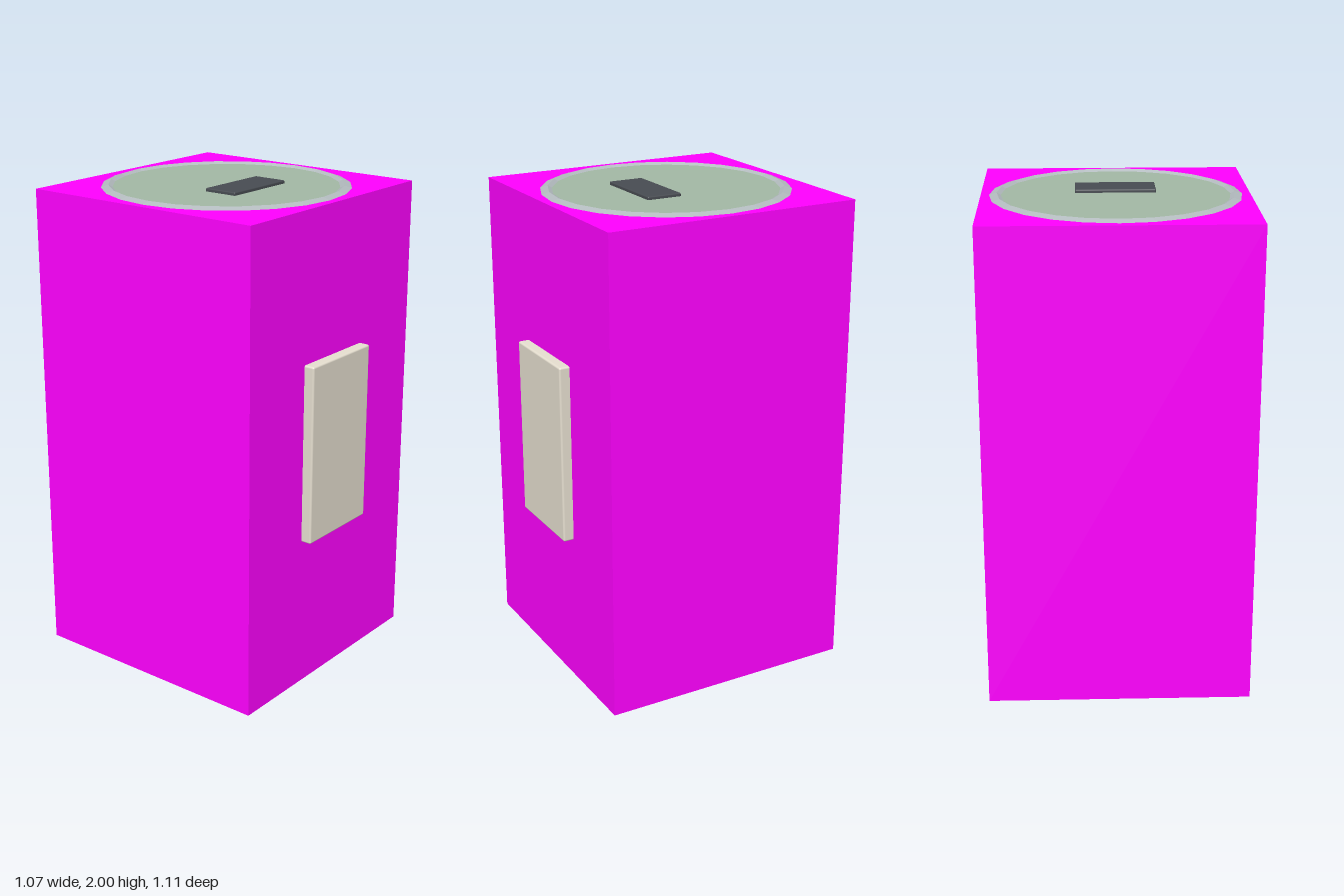
import * as THREE from 'three';
import { RoundedBoxGeometry } from 'three/addons/geometries/RoundedBoxGeometry.js';

const SIDES = 24;
const BOTTOM = 0.012, TOP = 1.986; // ends of the outer box
const CENTRE_Z = -0.022;

function addPart(group, name, geometry, color, x, y, z, flatShading = false) {
  const material = new THREE.MeshStandardMaterial({ color, flatShading });
  const mesh = new THREE.Mesh(geometry, material);
  mesh.name = name;
  mesh.position.set(x, y, z);
  group.add(mesh);
  return mesh;
}

// Faceted ring with a sloping outside, a crest and an inner bevel
function rimGeometry() {
  const profile = [
    [0.5, -0.02], [0.5, 0], [0.47, 0.01], [0.45, -0.001],
  ].map(([r, y]) => new THREE.Vector2(r, y));
  return new THREE.LatheGeometry(profile, SIDES);
}

export function createModel() {
  const model = new THREE.Group();
  model.name = 'boxedDrum';
  const middle = (BOTTOM + TOP) / 2;
  const height = TOP - BOTTOM;

  // Outer box
  addPart(model, 'outerBox', new THREE.BoxGeometry(1.066, height, 1.067), 0xff00ff, 0, middle, CENTRE_Z);

  // Drum inside the box, its end faces just proud of the box
  addPart(model, 'drum', new THREE.CylinderGeometry(0.465, 0.465, height + 0.002, SIDES), 0xa3b8a5, 0, middle, CENTRE_Z);

  // Rims at both ends, the lower one turned over
  addPart(model, 'topRim', rimGeometry(), 0xb4bcc0, 0, TOP, CENTRE_Z, true);
  const bottomRim = addPart(model, 'bottomRim', rimGeometry(), 0xb4bcc0, 0, BOTTOM, CENTRE_Z, true);
  bottomRim.rotation.x = Math.PI;

  // Dark grip on the lid
  addPart(model, 'lidGrip', new RoundedBoxGeometry(0.322, 0.03, 0.146, 2, 0.005), 0x484c52, 0, 1.985, 0.074);

  // Pale panel on the front
  addPart(model, 'frontPanel', new RoundedBoxGeometry(0.384, 0.74, 0.08, 2, 0.008), 0xe6dfd0, 0, 1.015, 0.515);

  return model;
}
